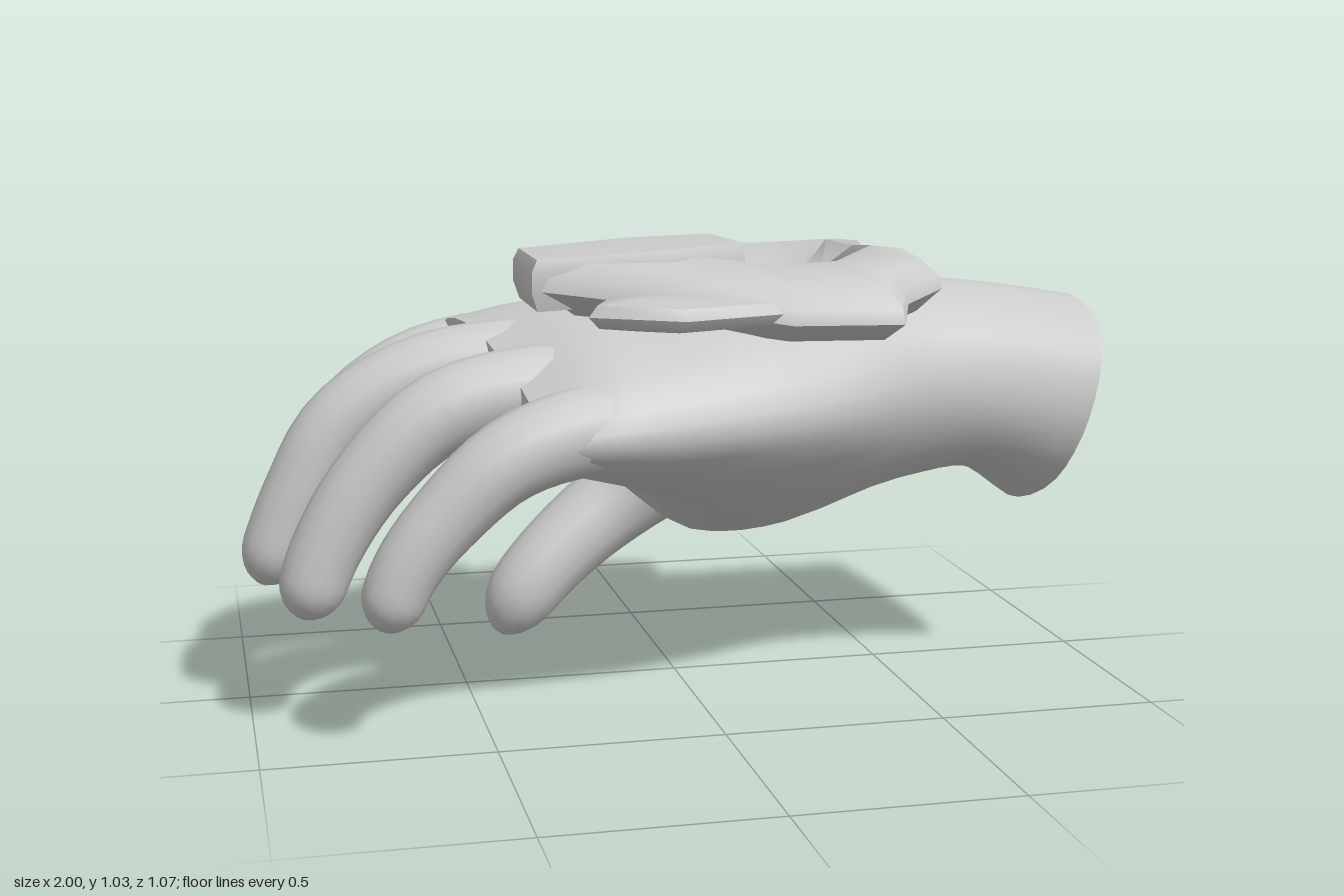
import * as THREE from 'three';
import { toCreasedNormals } from 'three/addons/utils/BufferGeometryUtils.js';

const material = new THREE.MeshStandardMaterial({ color: 0xcccccc });
const V = (x, y, z) => new THREE.Vector3(x, y, z);

// Skin a list of equal-length closed rings, with a flat cap at each end
function loft(rings) {
  const n = rings[0].length, last = rings.length - 1, pos = [], idx = [];
  const add = (p) => pos.push(p.x, p.y, p.z) / 3 - 1;
  rings.forEach((ring) => ring.forEach(add));
  for (let i = 0; i < last; i++) for (let j = 0; j < n; j++) {
    const a = i * n + j, b = i * n + (j + 1) % n;
    idx.push(a, b, a + n, b, b + n, a + n);
  }
  for (const [ring, flip] of [[rings[0], true], [rings[last], false]]) {
    const c = ring.reduce((s, p) => s.add(p), V(0, 0, 0)).divideScalar(n);
    const centre = add(c), k = ring.map(add);
    k.forEach((a, j) => {
      const b = k[(j + 1) % n];
      flip ? idx.push(centre, b, a) : idx.push(centre, a, b);
    });
  }
  const g = new THREE.BufferGeometry();
  g.setAttribute('position', new THREE.Float32BufferAttribute(pos, 3));
  g.setIndex(idx);
  g.computeVertexNormals();
  return g;
}

// Rounded finger following a path, its radius easing from r0 to r1
function digit(points, r0, r1, tipLength) {
  const curve = new THREE.CatmullRomCurve3(points.map((p) => V(...p)));
  const rings = [], rows = 26, sides = 14;
  for (let i = 0; i <= rows; i++) {
    const t = Math.sin((i / rows) * Math.PI / 2);
    const c = curve.getPointAt(t), d = curve.getTangentAt(t);
    const u = V(0, 0, 1).addScaledVector(d, -d.z).normalize();
    const v = d.clone().cross(u);
    const e = Math.max(0, (t - 1 + tipLength) / tipLength);
    const r = THREE.MathUtils.lerp(r0, r1, t) * Math.sqrt(Math.max(0.04, 1 - e * e));
    rings.push(Array.from({ length: sides }, (_, j) => {
      const a = (j / sides) * Math.PI * 2;
      return c.clone().addScaledVector(u, r * Math.cos(a)).addScaledVector(v, r * Math.sin(a));
    }));
  }
  return loft(rings);
}

// Bevelled plate: an [x, z] outline scaled about a centre at several [scale, height, reach] levels
function plate(outline, [cx, cz], levels, bend = 0, tilt = 0) {
  const rings = levels.map(([scale, y, reach = Infinity]) => outline.map(([x, z]) => {
    const s = Math.min(scale, reach / Math.hypot(x - cx, z - cz));
    const px = cx + (x - cx) * s, pz = cz + (z - cz) * s;
    return V(px, y - bend * pz * pz + tilt * px, pz);
  }));
  return toCreasedNormals(loft(rings), 0.9);
}

// Forearm and palm: cross-sections as [z, y] points, from wrist to knuckles
function palm() {
  const xs = [0.93, 0.72, 0.52, 0.3, 0.1, -0.1, -0.3, -0.47];
  const sections = [
    [[.26, .62], [.21, .79], [-.04, .87], [-.28, .79], [-.35, .62], [-.27, .44], [-.06, .37], [.18, .46]],
    [[.27, .66], [.21, .84], [-.02, .91], [-.24, .84], [-.33, .68], [-.26, .53], [-.05, .47], [.19, .52]],
    [[.29, .68], [.22, .86], [0, .93], [-.22, .86], [-.34, .66], [-.28, .47], [-.1, .43], [.18, .5]],
    [[.4, .67], [.3, .84], [0, .92], [-.27, .84], [-.45, .55], [-.42, .33], [-.2, .3], [.22, .47]],
    [[.47, .66], [.36, .83], [0, .92], [-.28, .82], [-.535, .45], [-.46, .3], [-.25, .28], [.26, .47]],
    [[.5, .65], [.41, .8], [0, .9], [-.28, .83], [-.45, .58], [-.38, .44], [-.14, .45], [.3, .5]],
    [[.525, .65], [.43, .78], [0, .885], [-.25, .85], [-.355, .72], [-.27, .61], [0, .59], [.36, .55]],
    [[.51, .64], [.42, .715], [0, .84], [-.24, .82], [-.325, .73], [-.25, .65], [0, .65], [.36, .585]],
  ];
  const cols = sections.map((pts, i) => {
    const ring = new THREE.CatmullRomCurve3(pts.map(([z, y]) => {
      const wrist = Math.max(0, (xs[i] - 0.5) / 0.43), knuckle = Math.max(0, -xs[i] / 0.44);
      return V(xs[i] + 0.27 * wrist * (y - 0.62) + 0.16 * knuckle * z, y, z);
    }), true);
    return Array.from({ length: 32 }, (_, j) => ring.getPoint(j / 32));
  });
  const lines = cols[0].map((_, j) => new THREE.CatmullRomCurve3(cols.map((c) => c[j])));
  return loft(Array.from({ length: 29 }, (_, i) => lines.map((l) => l.getPoint(i / 28))));
}

export function createModel() {
  const model = new THREE.Group();
  const add = (name, geometry) => {
    const mesh = new THREE.Mesh(geometry, material);
    mesh.name = name;
    model.add(mesh);
  };

  add('palmAndWrist', palm());

  // Curled fingers and lowered thumb
  add('indexFinger', digit([[-.22, .74, -.22], [-.42, .75, -.235], [-.6, .71, -.225], [-.76, .6, -.2],
    [-.85, .45, -.18], [-.915, .265, -.165]], .1, .07, .09));
  add('middleFinger', digit([[-.22, .76, .02], [-.42, .765, .025], [-.6, .74, .03], [-.78, .64, .035],
    [-.88, .48, .04], [-.965, .28, .04]], .1, .072, .09));
  add('ringFinger', digit([[-.2, .72, .21], [-.4, .73, .235], [-.58, .69, .25], [-.73, .56, .255],
    [-.83, .41, .26], [-.89, .255, .265]], .105, .072, .09));
  add('littleFinger', digit([[-.15, .67, .38], [-.3, .67, .42], [-.46, .62, .445], [-.59, .51, .45],
    [-.68, .4, .455], [-.735, .27, .455]], .105, .066, .1));
  add('thumb', digit([[.42, .52, -.2], [.22, .47, -.34], [.08, .41, -.405], [-.05, .325, -.425],
    [-.17, .24, -.405], [-.28, .14, -.38], [-.37, .01, -.375]], .14, .085, .13));

  // Notched shield over the back of the hand, dished in the middle
  add('backPlate', plate([[.57, .23], [.56, .11], [.44, .08], [.42, -.1], [.53, -.18], [.52, -.31],
    [.39, -.36], [.34, -.45], [.14, -.41], [-.11, -.255], [-.35, -.1], [-.34, .17], [-.09, .29],
    [.17, .41], [.42, .42], [.46, .32]], [.22, 0],
  [[.3, .89], [.86, .89], [1, .95], [.98, .98], [.88, 1.01], [.85, 1.015, .24], [.7, .96, .13], [.05, .945]], .42));

  // Raised tongue pointing at the fingers' side
  add('raisedTongue', plate([[.14, .11], [.12, -.11], [-.08, -.15], [-.36, -.1], [-.36, .17], [-.04, .17]],
    [-.1, 0], [[.5, .91], [.95, .91], [1, .95], [1, 1], [.95, 1.025], [.4, 1.03]], 0, .05));

  // Small side tabs tucked under the shield
  const tabLevels = [[.4, .87], [.88, .88], [1, .905], [.9, .93], [.4, .94]];
  add('frontTab', plate([[.15, .4], [0, .22], [-.22, .24], [-.27, .36], [-.08, .47]], [-.08, .34], tabLevels));
  add('rearTab', plate([[0, -.4], [-.15, -.43], [-.33, -.24], [-.23, -.18], [0, -.22]], [-.13, -.3], tabLevels));

  return model;
}
